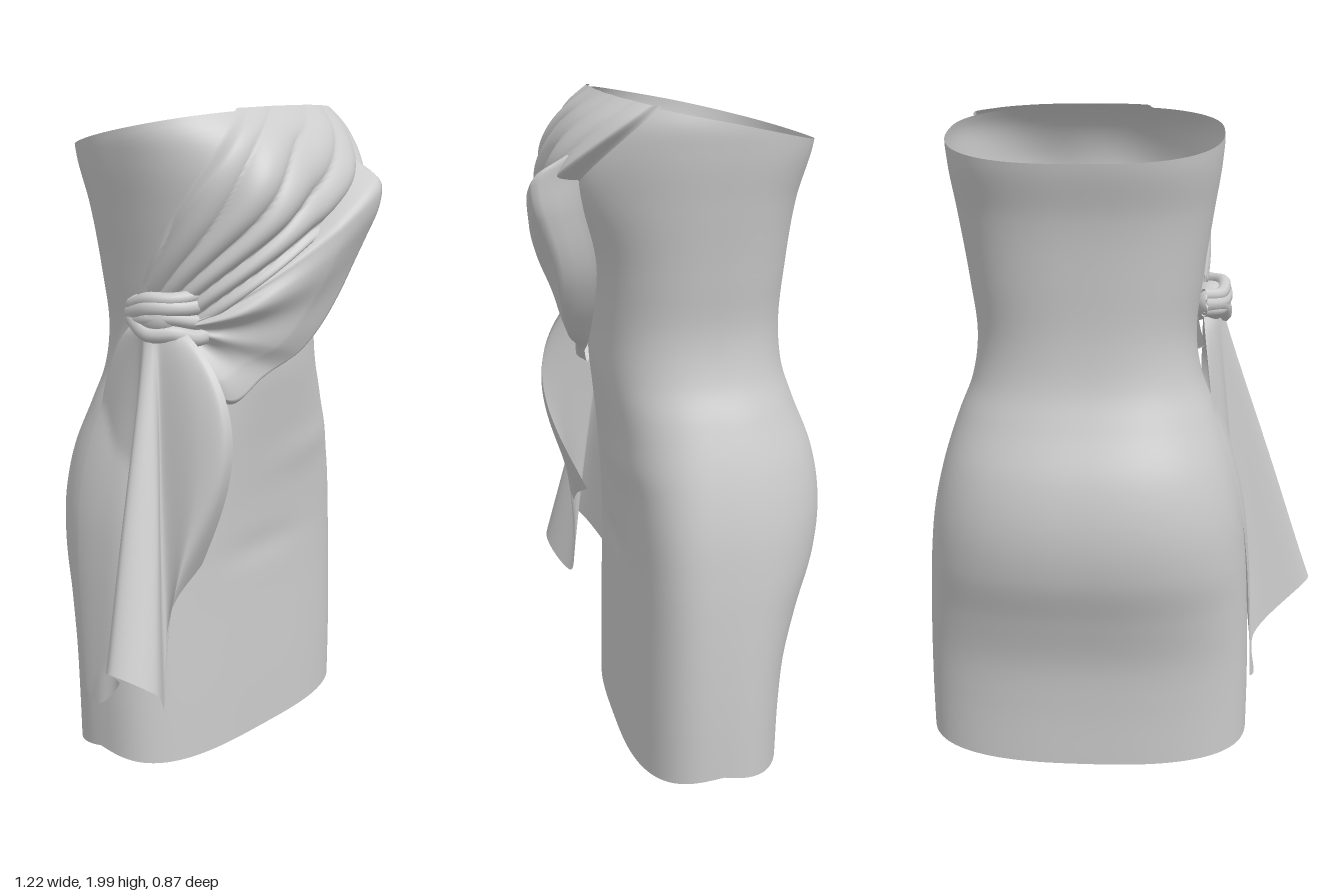
import * as THREE from 'three';

const material = new THREE.MeshStandardMaterial({ color: 0xcccccc, side: THREE.DoubleSide });
const { lerp, degToRad, smoothstep } = THREE.MathUtils;
const V = (x, y, z) => new THREE.Vector3(x, y, z);

// Dress sections: height, half width, front z, back z,
// then squareness of the front and back halves (2 = ellipse)
const CX = 0.1, CZ = -0.05;
const sections = [
  [0, 0.505, 0.19, -0.29, 3.1, 2.6], [0.2, 0.507, 0.188, -0.298, 3.1, 2.6],
  [0.35, 0.505, 0.185, -0.315, 3.1, 2.6], [0.5, 0.5, 0.182, -0.36, 3.1, 2.5],
  [0.65, 0.491, 0.182, -0.413, 3.1, 2.45], [0.8, 0.474, 0.19, -0.43, 3, 2.45],
  [0.95, 0.44, 0.205, -0.408, 2.8, 2.45], [1.1, 0.39, 0.225, -0.35, 2.6, 2.4],
  [1.2, 0.35, 0.238, -0.317, 2.5, 2.4], [1.33, 0.33, 0.245, -0.305, 2.45, 2.4],
  [1.5, 0.347, 0.26, -0.315, 2.45, 2.5], [1.7, 0.377, 0.295, -0.34, 2.45, 2.6],
  [1.85, 0.4, 0.295, -0.382, 2.45, 2.7], [1.93, 0.403, 0.265, -0.39, 2.45, 2.7],
  [2, 0.375, 0.205, -0.39, 2.45, 2.7],
];
const profile = new THREE.CubicInterpolant(
  sections.map(s => s[0]), sections.flatMap(s => s.slice(1)), 5, new Float32Array(5));

const spow = (t, n) => Math.sign(t) * Math.abs(t) ** (2 / n);
const bump = (x, y, cx, cy, r) => Math.exp(-((x - cx) ** 2 + (y - cy) ** 2) / (r * r));

// Point on the dress at an angle (0 = +x, 90 degrees = front), moved outward by off
function onBody(a, y, off = 0) {
  const [hw, zf, zb, nf, nb] = profile.evaluate(Math.min(Math.max(y, 0), 2));
  const c = Math.cos(a), s = Math.sin(a), n = s > 0 ? nf : nb;
  const x = CX + hw * spow(c, n);
  let z = CZ + (s > 0 ? zf - CZ : CZ - zb) * spow(s, n);
  if (s > 0) z += 0.035 * s * (bump(x, y, 0.29, 1.76, 0.14) + bump(x, y, -0.09, 1.76, 0.14));
  return V(x + off * c, y, z + off * s);
}

// Same, addressed by the x seen from the front
function onFront(x, y, off) {
  const [hw, , , n] = profile.evaluate(y);
  const q = Math.max(-1, Math.min(1, (x - CX) / hw));
  return onBody(Math.acos(Math.sign(q) * Math.abs(q) ** (n / 2)), y, off);
}

// Keeps hanging cloth from sinking into the dress
function pushOut(p, gap) {
  const [hw, zf, zb, nf, nb] = profile.evaluate(p.y);
  const front = p.z > CZ, n = front ? nf : nb;
  const q = (p.x - CX) / hw, r = (p.z - CZ) / (front ? zf - CZ : CZ - zb);
  const f = (Math.abs(q) ** n + Math.abs(r) ** n) ** (1 / n);
  if (f < gap && f > 0.01) {
    p.x = CX + (p.x - CX) * gap / f;
    p.z = CZ + (p.z - CZ) * gap / f;
  }
  return p;
}

// Smooth sheet from a rule point(u, v); closed sheets join up in u
function sheet(name, nu, nv, point, closed = false) {
  const positions = [], index = [], cols = closed ? nu : nu + 1;
  for (let j = 0; j <= nv; j++)
    for (let i = 0; i < cols; i++) positions.push(...point(i / nu, j / nv).toArray());
  for (let j = 0; j < nv; j++)
    for (let i = 0; i < nu; i++) {
      const a = j * cols + i, b = j * cols + (i + 1) % cols;
      index.push(a, a + cols, b, b, a + cols, b + cols);
    }
  const g = new THREE.BufferGeometry();
  g.setAttribute('position', new THREE.Float32BufferAttribute(positions, 3));
  g.setIndex(index);
  g.computeVertexNormals();
  const mesh = new THREE.Mesh(g, material);
  mesh.name = name;
  return mesh;
}

// Neckline slopes down to the back; hem lifts slightly at the sides
const neckline = (a) => {
  const s = spow(Math.sin(a), 2.55);
  return 1.93 + (s > 0 ? 0.055 : 0.075) * s;
};
const hem = (a) => {
  const s = Math.abs(spow(Math.sin(a), 2.8));
  return lerp(0.05, Math.sin(a) > 0 ? 0.012 : 0.004, s);
};

const quad = (a, b, c, t) => a * (1 - t) ** 2 + 2 * b * t * (1 - t) + c * t * t;

// Pleated band from the neckline across the bust to the knot
function bandPoint(u, v) {
  const a0 = lerp(112, 28, v);
  const a = degToRad(quad(a0, lerp(150, 96, v), lerp(174, 142, v), u));
  const start = neckline(degToRad(a0)) + 0.008;
  const y = Math.min(quad(start, lerp(1.8, 1.53, v), lerp(1.5, 1.35, v), u), neckline(a) + 0.01);
  const pleat = Math.abs(Math.sin(Math.PI * (v ** 1.2 * 5 + 0.3 * Math.sin(u * 5 + v * 3)))) ** 0.7;
  const lift = Math.sin(Math.PI * (u * 0.84 + 0.05));
  const edge = smoothstep(v, 0, 0.08) * (1 - smoothstep(v, 0.93, 1) * 0.9);
  return onBody(a, y, 0.004 + edge * (0.008 + (0.06 * v + 0.026 * pleat) * lift));
}

// Free flap fanning out from the knot below the band
const flapEdge = new THREE.CatmullRomCurve3([
  V(0.34, 1.89, 0), V(0.32, 1.82, 0), V(0.305, 1.68, 0), V(0.25, 1.46, 0),
  V(0.13, 1.27, 0), V(0.0, 1.2, 0), V(-0.1, 1.14, 0), V(-0.22, 1.25, 0)]);
function flapPoint(u, v) {
  const e = flapEdge.getPoint(v);
  const x = lerp(-0.2, e.x, u), y = lerp(1.38, e.y, u);
  const fold = 0.014 * Math.sin(v * 21 + u * 3) * (1 - u * 0.75) * Math.min(1, u * 5);
  const puff = lerp(0.02, 0.12, smoothstep(v, 0, 0.18)) - 0.09 * smoothstep(v, 0.33, 0.68);
  const off = 0.012 + (puff * Math.min(1, 0.35 + u) + fold) * (1 - smoothstep(u, 0.92, 1));
  return onFront(x, y, off);
}

// Hanging tail: a folded sheet flaring from the knot to a ragged lower edge
const tailHem = new THREE.CatmullRomCurve3([
  V(-0.41, 0.23, -0.1), V(-0.43, 0.21, -0.03), V(-0.43, 0.3, 0.06), V(-0.615, 0.45, 0.21),
  V(-0.53, 0.39, 0.31), V(-0.42, 0.29, 0.24), V(-0.38, 0.57, 0.23), V(-0.22, 0.67, 0.21)],
  false, 'centripetal');
function tailPoint(u, v) {
  const e = tailHem.getPoint(u);
  const p = V(
    lerp(-0.25 - 0.06 * Math.sin(Math.PI * u), e.x, v ** 1.05),
    lerp(1.38, e.y, v),
    lerp(lerp(0.0, 0.15, u), e.z, v ** 0.95));
  // back panel wraps the hip, front edge billows forward
  p.z -= 0.12 * (1 - smoothstep(u, 0, 0.3)) * Math.sin(Math.PI * v ** 0.5);
  p.z += 0.17 * smoothstep(u, 0.7, 0.95) * Math.sin(Math.PI * v ** 0.75);
  p.x += 0.006 * Math.sin(u * 22 + v * 3) * Math.sin(Math.PI * v);
  return pushOut(p, 1.02);
}

// Knot: a soft core crossed by gathered rolls that sink into the cloth at both ends
function makeKnot() {
  const knot = new THREE.Group();
  knot.name = 'knot';
  const core = new THREE.Mesh(new THREE.SphereGeometry(1, 28, 18), material);
  core.name = 'knotCore';
  core.scale.set(0.06, 0.06, 0.09);
  knot.add(core);
  // each roll: height at the band, at the bulge, at the back, and thickness
  const rolls = [[0.085, 0.055, 0.03, 0.02], [0.05, 0.03, 0.005, 0.026],
    [-0.005, 0.0, -0.015, 0.021], [-0.055, -0.045, 0.0, 0.025]];
  for (const [front, middle, back, radius] of rolls) {
    const path = new THREE.CatmullRomCurve3([
      V(0.12, front, 0.115), V(0.06, lerp(front, middle, 0.4) - 0.01, 0.11), V(0.0, middle, 0.08),
      V(-0.04, middle, 0.02), V(-0.03, back, -0.05), V(0.02, back, -0.08)]);
    const roll = new THREE.Mesh(new THREE.TubeGeometry(path, 32, radius, 10), material);
    roll.name = 'knotRoll';
    knot.add(roll);
  }
  knot.position.set(-0.27, 1.41, 0.06);
  return knot;
}

export function createModel() {
  const group = new THREE.Group();
  group.name = 'dress';

  // Fitted strapless body with faint creases over the lap
  group.add(sheet('dressBody', 112, 100, (u, v) => {
    const a = u * Math.PI * 2;
    const p = onBody(a, lerp(hem(a), neckline(a), v));
    if (p.z > 0) {
      p.z += 0.006 * (bump(p.x * 0.3, p.y, 0.1, 0.9 + p.x * 0.1, 0.06)
        - bump(p.x * 0.3, p.y, 0.03, 0.64, 0.05));
    }
    return p;
  }, true));

  group.add(sheet('pleatedBand', 60, 80, bandPoint));
  group.add(sheet('drapedFlap', 50, 70, flapPoint));
  group.add(sheet('hangingTail', 90, 50, tailPoint));
  group.add(makeKnot());
  return group;
}
